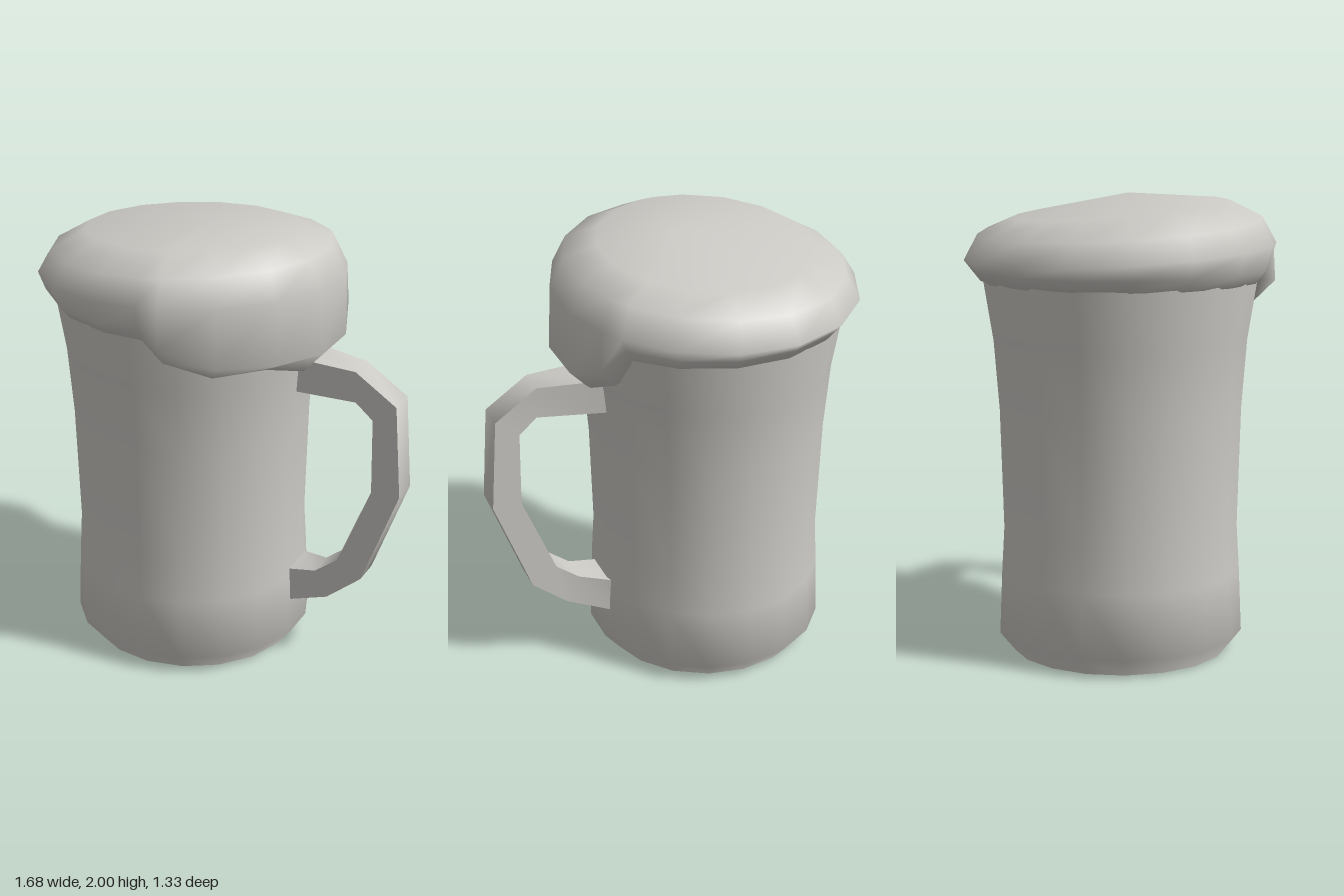
import * as THREE from 'three';
import { toCreasedNormals } from 'three/addons/utils/BufferGeometryUtils.js';

const CENTRE_X = -0.185;

function indexed(positions, index) {
  const g = new THREE.BufferGeometry();
  g.setAttribute('position', new THREE.Float32BufferAttribute(positions, 3));
  g.setIndex(index);
  g.computeVertexNormals();
  return g;
}

// Waisted glass with a bevelled foot; the doubled point keeps the base edge crisp
function bodyGeometry() {
  const profile = [
    [0, 0], [0.478, 0], [0.478, 0.001], [0.542, 0.08], [0.53, 0.36], [0.518, 0.56],
    [0.532, 1.08], [0.555, 1.38], [0.595, 1.63], [0.6, 1.72],
  ].map(([r, y]) => new THREE.Vector2(r, y));
  return toCreasedNormals(new THREE.LatheGeometry(profile, 18), 0.85);
}

// Foam head: rings from the lower edge up to the apex, hanging low over one side
function foamGeometry() {
  // [angle in degrees from +x towards +z, lower edge height, outer bulge height of the drip]
  const columns = [
    [-37, 1.63, 1.69], [-28, 1.48, 1.58], [-11, 1.4, 1.5], [11, 1.4, 1.5], [33, 1.47, 1.52],
    [56, 1.465, 1.54], [76, 1.53, 1.62], [84, 1.63, 1.7],
  ];
  for (let a = 101; a < 310; a += 22.5) columns.push([a, 1.63, 1.68]);

  const n = columns.length, rings = 6, pos = [], index = [];
  const rows = columns.map(([deg, edge, bulge]) => {
    const a = THREE.MathUtils.degToRad(deg), c = Math.cos(a), s = Math.sin(a);
    const drip = edge < 1.6;
    return [
      [drip ? 0.52 : 0.57, edge + 0.01],
      [drip ? 0.59 : 0.605, edge],
      [drip ? 0.685 : 0.645, bulge],
      [0.675, 1.757 + 0.02 * c + 0.035 * s],
      [0.615, 1.868 + 0.035 * c + 0.03 * s],
      [0.47, 1.937 + 0.02 * c + 0.035 * s],
    ].map(([r, y]) => [-0.175 + r * c, y, r * s]);
  });
  for (let k = 0; k < rings; k++) for (const row of rows) pos.push(...row[k]);
  pos.push(-0.05, 2, 0.02);

  for (let k = 0; k < rings; k++) {
    for (let i = 0; i < n; i++) {
      const a = k * n + i, b = k * n + (i + 1) % n;
      if (k < rings - 1) index.push(a, a + n, b, b, a + n, b + n);
      else index.push(a, rings * n, b);
    }
  }
  return indexed(pos, index);
}

// Handle: rectangular sections swept along a faceted loop, flared where it meets the glass
function handleGeometry() {
  // [outer x, outer y, inner x, inner y, back z]
  const sections = [
    [0.3, 0.23, 0.3, 0.395, -0.13],
    [0.52, 0.3, 0.46, 0.42, -0.065],
    [0.68, 0.43, 0.565, 0.5, -0.065],
    [0.845, 0.87, 0.715, 0.87, -0.065],
    [0.815, 1.29, 0.71, 1.21, -0.065],
    [0.625, 1.42, 0.63, 1.28, -0.065],
    [0.33, 1.435, 0.33, 1.28, -0.14],
  ];
  const pos = [], index = [], front = 0.07;
  for (const [ox, oy, ix, iy, back] of sections) {
    pos.push(ox, oy, front, ox, oy, back, ix, iy, back, ix, iy, front);
  }
  for (let i = 0; i < sections.length - 1; i++) {
    for (let k = 0; k < 4; k++) {
      const a = i * 4 + k, b = i * 4 + (k + 1) % 4;
      index.push(a, b, b + 4, a, b + 4, a + 4);
    }
  }
  return toCreasedNormals(indexed(pos, index), 0.95);
}

export function createModel() {
  const stone = new THREE.MeshStandardMaterial({ color: 0xcccac5 });
  stone.name = 'paleGrey';

  const group = new THREE.Group();
  group.name = 'mug';
  const add = (name, geometry, x = 0) => {
    const mesh = new THREE.Mesh(geometry, stone);
    mesh.name = name;
    mesh.position.x = x;
    group.add(mesh);
  };
  add('glassBody', bodyGeometry(), CENTRE_X);
  add('foamHead', foamGeometry());
  add('handle', handleGeometry());
  return group;
}
